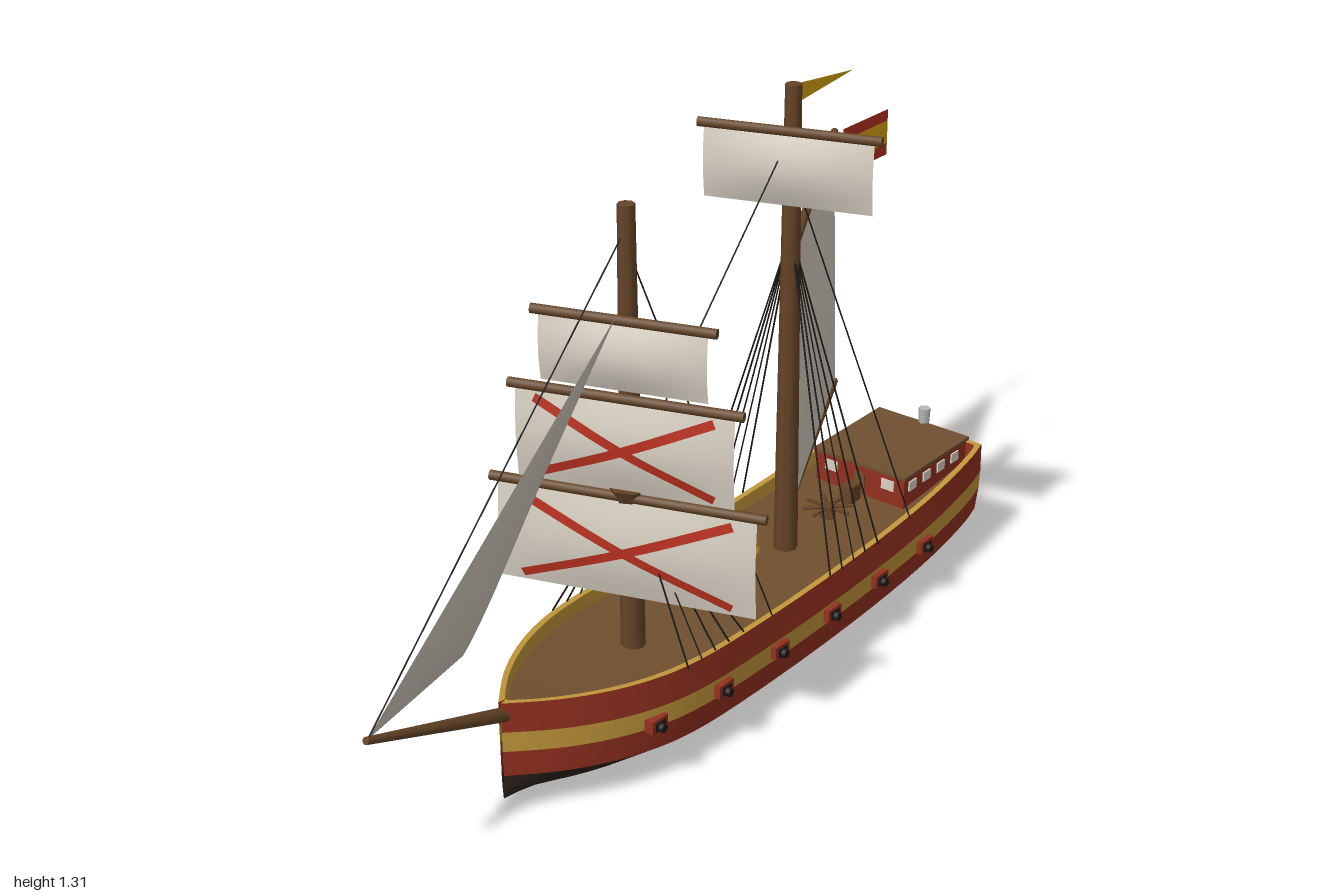
import * as THREE from 'three';

const mat = (name, color, side = THREE.FrontSide) => {
  const m = new THREE.MeshStandardMaterial({ color, side });
  m.name = name;
  return m;
};
const V = (x, y, z) => new THREE.Vector3(x, y, z);

export function createModel() {
  const D = THREE.DoubleSide;
  const red = mat('hull red', 0x93301f, D), ochre = mat('ochre paint', 0xc2973a, D);
  const tar = mat('tarred bottom', 0x2e241d, D), deckWood = mat('deck wood', 0x70502f, D);
  const sparWood = mat('spar wood', 0x654427), canvas = mat('sail canvas', 0xd6cfc2, D);
  const bright = mat('bright red', 0xb5301f, D), gold = mat('flag gold', 0xd6a312, D);
  const rope = mat('rope and iron', 0x1e1a18), pewter = mat('lantern grey', 0xb9bab8);

  const model = new THREE.Group();
  const ship = new THREE.Group();
  ship.name = 'ship';
  ship.position.x = -0.008;
  model.add(ship);

  const add = (geo, m, name, parent = ship) => {
    const mesh = new THREE.Mesh(geo, m);
    mesh.name = name;
    parent.add(mesh);
    return mesh;
  };
  const box = (w, h, d, x, y, z, m, name, parent) => {
    const b = add(new THREE.BoxGeometry(w, h, d), m, name, parent);
    b.position.set(x, y, z);
    return b;
  };
  // Tapered round bar between two points
  const bar = (a, b, r1, r2, m, name, sides = 8, parent = ship) => {
    const dir = b.clone().sub(a);
    const mesh = add(new THREE.CylinderGeometry(r2, r1, dir.length(), sides), m, name, parent);
    mesh.position.copy(a).addScaledVector(dir, 0.5);
    mesh.quaternion.setFromUnitVectors(V(0, 1, 0), dir.normalize());
    return mesh;
  };
  const line = (a, b, name) => bar(a, b, 0.002, 0.002, rope, name, 4);
  // Smooth sheet through fn(u, v)
  const sheet = (fn, nu, nv, m, name, parent) => {
    const pos = [], idx = [];
    for (let j = 0; j <= nv; j++) for (let i = 0; i <= nu; i++) {
      pos.push(...fn(i / nu, j / nv).toArray());
      if (i < nu && j < nv) {
        const a = j * (nu + 1) + i, c = a + nu + 1;
        idx.push(a, c, a + 1, a + 1, c, c + 1);
      }
    }
    const g = new THREE.BufferGeometry();
    g.setAttribute('position', new THREE.Float32BufferAttribute(pos, 3));
    g.setIndex(idx);
    g.computeVertexNormals();
    return add(g, m, name, parent);
  };

  // Hull lines: half breadth along the length, with sheer and keel rise at the ends
  const plan = new THREE.SplineCurve([[-0.885, 0.148], [-0.8, 0.166], [-0.6, 0.183], [-0.3, 0.19], [0.1, 0.19],
    [0.25, 0.184], [0.35, 0.167], [0.45, 0.132], [0.55, 0.077], [0.645, 0.003]].map(p => new THREE.Vector2(...p)));
  const sheer = z => 0.036 * Math.pow(Math.abs(z + 0.12) / 0.765, 2);
  const keel = z => 0.052 * Math.pow(Math.abs(z + 0.12) / 0.765, 2.2);
  const level = [
    z => [0, keel(z)], z => [0.63, keel(z) + 0.026], z => [0.97, 0.072 + sheer(z)],
    z => [1.01, 0.13 + sheer(z)], z => [1.02, 0.176 + sheer(z)], z => [1, 0.245 + sheer(z)]];
  const hullPoint = (k, u, side) => {
    const p = plan.getPoint(u), [f, y] = level[k](p.x);
    const rake = p.x < -0.8 ? -0.012 * y / 0.28 * (-0.8 - p.x) / 0.085 : 0;
    return V(side * p.y * f, y, p.x + rake);
  };
  [tar, tar, red, ochre, red].forEach((m, k) => {
    for (const s of [-1, 1]) sheet((u, v) => hullPoint(k + v, u, s), 36, 1, m, 'hullPlanking');
    sheet((u, v) => hullPoint(k + v, 0, 2 * u - 1).multiply(V(1, 1, 1)), 1, 1, m === tar ? red : m, 'transom');
  });

  // Rail cap, inner bulwark and deck
  const inner = (u, s, drop) => {
    const p = hullPoint(5, u, s);
    return V(s * Math.max(Math.abs(p.x) - 0.014, 0), p.y - drop, Math.min(p.z + (u < 0.02 ? 0.014 : 0), 0.625));
  };
  for (const s of [-1, 1]) {
    sheet((u, v) => v ? inner(u, s, 0) : hullPoint(5, u, s), 36, 1, ochre, 'railCap');
    sheet((u, v) => inner(u, s, v * 0.035), 36, 1, ochre, 'innerBulwark');
  }
  sheet((u, v) => v ? inner(0, 2 * u - 1, 0).setX((2 * u - 1) * 0.134) : hullPoint(5, 0, 2 * u - 1), 1, 1, ochre, 'sternRail');
  sheet((u, v) => V((2 * v - 1) * inner(u, 1, 0).x, inner(u, 1, 0.035).y, inner(u, 1, 0).z), 36, 1, deckWood, 'deck');

  // Stern cabin with windows, roof and lantern
  box(0.25, 0.09, 0.265, 0, 0.255, -0.73, red, 'cabin');
  box(0.26, 0.008, 0.275, 0, 0.304, -0.73, deckWood, 'cabinRoof');
  for (const s of [-1, 1]) for (let i = 0; i < 4; i++)
    box(0.006, 0.024, 0.03, s * 0.126, 0.276, -0.63 - i * 0.06, canvas, 'cabinSideWindow');
  for (const x of [-0.08, 0.08]) box(0.035, 0.026, 0.006, x, 0.274, -0.597, canvas, 'cabinFrontWindow');
  box(0.03, 0.05, 0.006, 0, 0.255, -0.597, deckWood, 'cabinDoor');
  bar(V(0, 0.29, -0.868), V(0, 0.308, -0.868), 0.006, 0.006, rope, 'lanternPost', 6);
  bar(V(0, 0.305, -0.868), V(0, 0.345, -0.868), 0.013, 0.015, pewter, 'lantern', 6);

  // Guns in framed ports along both sides
  for (const z of [0.365, 0.177, -0.016, -0.21, -0.397, -0.59]) {
    const w = plan.getPoint(0.5).y && [...Array(200).keys()].map(i => plan.getPoint(i / 199))
      .reduce((a, b) => Math.abs(b.x - z) < Math.abs(a.x - z) ? b : a).y;
    for (const s of [-1, 1]) {
      box(0.022, 0.03, 0.048, s * (w + 0.006), 0.157, z, red, 'gunPort');
      box(0.008, 0.02, 0.03, s * (w + 0.015), 0.155, z, rope, 'gunPortOpening');
      bar(V(s * w, 0.152, z), V(s * (w + 0.029), 0.152, z), 0.012, 0.01, rope, 'gunBarrel');
    }
  }

  // Ship's boat amidships
  const boat = new THREE.Group();
  boat.name = 'shipsBoat';
  boat.position.set(0, 0.205, -0.05);
  boat.scale.set(0.042, 1, 0.15);
  ship.add(boat);
  const boatSide = [[0.55, 0], [0.85, 0.025], [1, 0.057], [0.88, 0.057], [0.8, 0.045]].map(p => new THREE.Vector2(...p));
  add(new THREE.LatheGeometry(boatSide, 24), ochre, 'boatHull', boat);
  const floor = add(new THREE.CircleGeometry(0.88, 24), tar, 'boatInside', boat);
  floor.rotation.x = -Math.PI / 2;
  floor.position.y = 0.056;

  // Capstan and binnacle
  bar(V(0, 0.2, -0.47), V(0, 0.25, -0.47), 0.02, 0.016, sparWood, 'capstan');
  for (let i = 0; i < 4; i++) {
    const a = i * Math.PI / 4, c = 0.058 * Math.cos(a), d = 0.058 * Math.sin(a);
    bar(V(-c, 0.243, -0.47 - d), V(c, 0.243, -0.47 + d), 0.004, 0.004, sparWood, 'capstanBar', 5);
  }
  box(0.032, 0.05, 0.04, 0, 0.24, -0.56, sparWood, 'binnacle');

  // Masts, fore top and bowsprit
  const foreZ = 0.235, mainZ = -0.305;
  bar(V(0, 0.19, foreZ), V(0, 1.208, foreZ), 0.027, 0.018, sparWood, 'foremast');
  bar(V(0, 0.19, mainZ), V(0, 1.308, mainZ), 0.028, 0.018, sparWood, 'mainmast');
  bar(V(0, 0.565, foreZ), V(0, 0.6, foreZ), 0.034, 0.05, sparWood, 'foreTop');
  bar(V(0, 0.21, 0.53), V(0, 0.383, 1.0), 0.018, 0.008, sparWood, 'bowsprit');

  // Square sails hung from braced yards: mast z, yard y, yard length, sail width, sail foot, cross
  [[foreZ, 0.582, 0.6, 0.562, 0.35, true], [foreZ, 0.803, 0.502, 0.467, 0.595, true],
    [foreZ, 0.973, 0.39, 0.355, 0.822, false], [mainZ, 1.213, 0.4, 0.37, 1.05, false]].forEach(([z, y, len, w, foot, cross]) => {
    const g = new THREE.Group();
    g.name = 'squareSail';
    g.position.set(0, y, z);
    g.rotation.y = 0.335;
    ship.add(g);
    bar(V(-len / 2, 0, 0.027), V(len / 2, 0, 0.027), 0.011, 0.011, sparWood, 'yard', 8, g);
    const h = y - foot;
    const cloth = (u, v, off = 0) => V((u - 0.5) * w, -v * h,
      0.03 + off + 0.022 * Math.sin(Math.PI * v) * (0.4 + 0.6 * Math.sin(Math.PI * u)));
    sheet((u, v) => cloth(u, v), 12, 8, canvas, 'sail', g);
    if (!cross) return;
    for (const off of [-0.003, 0.003]) for (const s of [-1, 1]) sheet((t, k) => {
      const side = (k - 0.5) * 0.02;
      return cloth(0.5 + s * (0.82 * (t - 0.5)) + side * 0.4 * s / w, 0.1 + 0.82 * t - side * 0.9 / h, off);
    }, 12, 1, bright, 'sailCross', g);
  });

  // Spanker with gaff and boom
  const throat = V(0, 0.935, -0.328), peak = V(-0.232, 1.022, -0.79);
  const tack = V(0, 0.315, -0.335), clew = V(-0.25, 0.353, -0.845);
  bar(throat.clone().setZ(-0.31), peak, 0.011, 0.008, sparWood, 'gaff');
  bar(tack.clone().setZ(-0.31), clew, 0.011, 0.008, sparWood, 'boom');
  sheet((u, v) => throat.clone().lerp(peak, u).lerp(tack.clone().lerp(clew, u), v)
    .addScaledVector(V(0.89, 0, -0.45), 0.03 * Math.sin(Math.PI * u) * Math.sin(Math.PI * v)), 10, 10, canvas, 'spanker');

  // Jib
  const tip = V(0, 0.383, 0.995), head = V(0, 0.985, 0.27), jibClew = V(-0.137, 0.316, 0.602);
  sheet((u, v) => tip.clone().lerp(head, u).lerp(jibClew, v)
    .add(V(0.1 * Math.sin(Math.PI * u) * v * (1 - v), 0, 0)), 10, 10, canvas, 'jib');

  // Ensign at the gaff end and pennant at the main truck
  [[1.02, 0.992, bright], [0.992, 0.934, gold], [0.934, 0.906, bright]].forEach(([a, b, m]) =>
    sheet((u, v) => V(-0.225, a + (b - a) * v, -0.815 - 0.185 * u), 1, 1, m, 'ensignStripe'));
  sheet((u, v) => V(0, 1.284 + (v - 0.5) * 0.042 * (1 - u), mainZ - 0.015 - 0.2 * u), 2, 1, gold, 'pennant');

  // Standing rigging
  for (const s of [-1, 1]) {
    for (const o of [-0.14, -0.09, -0.045, 0, 0.045]) {
      line(V(0, 0.6, foreZ), V(s * 0.186, 0.25, foreZ + o), 'foreShroud');
      line(V(0, 0.98, mainZ), V(s * 0.192, 0.245, mainZ + o + 0.05), 'mainShroud');
    }
    line(V(0, 1.12, foreZ), V(s * 0.19, 0.245, 0), 'foreBackstay');
    line(V(0, 1.12, mainZ), V(s * 0.188, 0.25, -0.53), 'mainBackstay');
  }
  line(V(0, 1.16, foreZ), tip, 'foreStay');
  line(V(0, 1.21, mainZ), V(0, 0.65, foreZ - 0.03), 'mainStay');
  return model;
}
